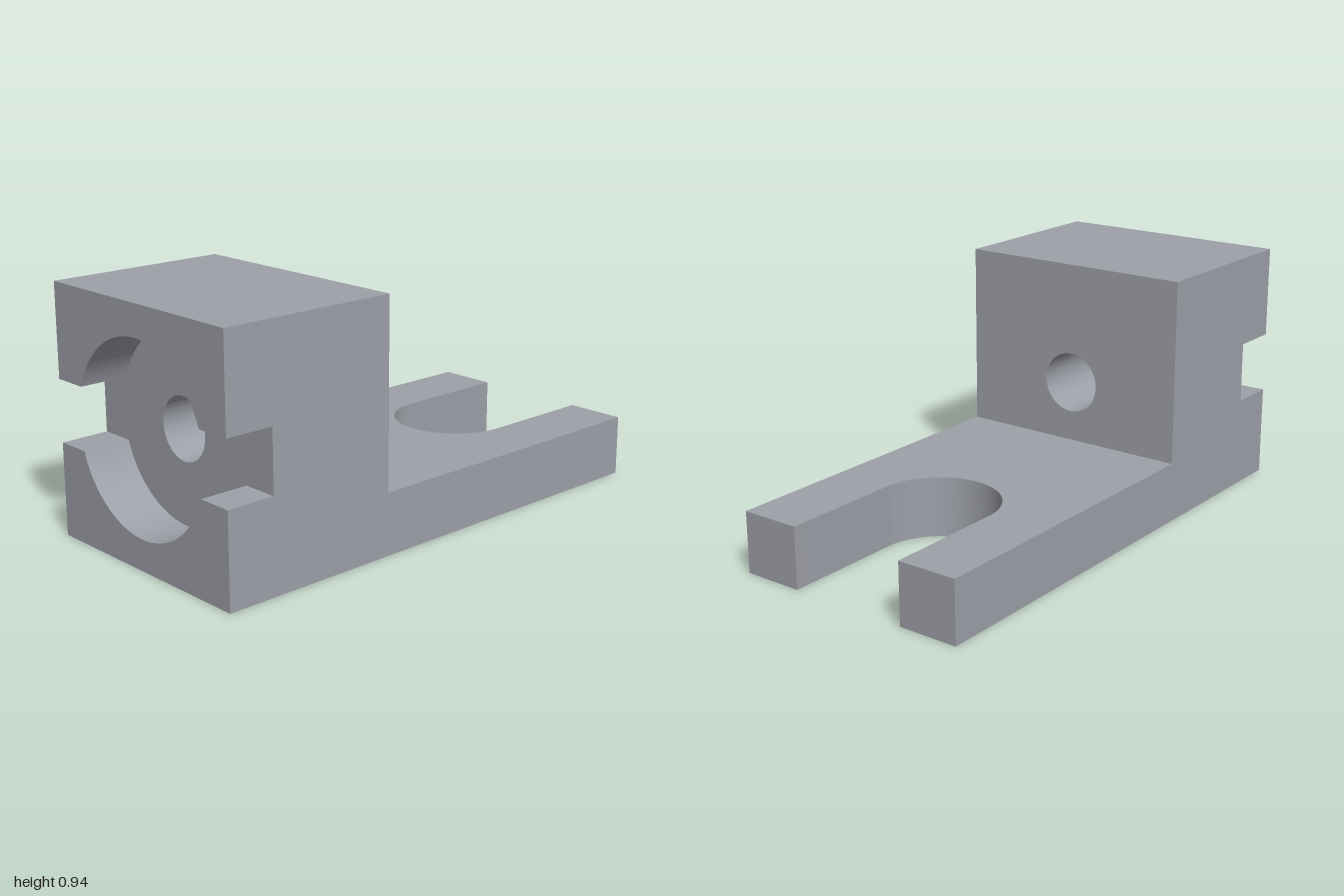
import * as THREE from 'three';
import { toCreasedNormals } from 'three/addons/utils/BufferGeometryUtils.js';

const U = 2 / 17;                 // design unit: the part is 17 units long
const HALF = 4 * U;               // half of the square block's width and height
const BLOCK_X = -1 + 6 * U;       // inner face of the block
const RECESS_X = -1 + 1.6 * U;    // floor of the counterbore and cross slot
const material = new THREE.MeshStandardMaterial({ color: 0x9da0a8 });

function extrude(shape, depth) {
  return new THREE.ExtrudeGeometry(shape, { depth, bevelEnabled: false, curveSegments: 48 });
}

function part(name, geometry) {
  const mesh = new THREE.Mesh(toCreasedNormals(geometry, Math.PI / 6), material);
  mesh.name = name;
  return mesh;
}

// Flat base plate with an open-ended round slot
function basePlate() {
  const r = 2 * U, slotX = 1 - 4 * U;
  const s = new THREE.Shape();
  s.moveTo(BLOCK_X, -HALF);
  s.lineTo(1, -HALF);
  s.lineTo(1, -r);
  s.lineTo(slotX, -r);
  s.absarc(slotX, 0, r, -Math.PI / 2, Math.PI / 2, true);
  s.lineTo(1, r);
  s.lineTo(1, HALF);
  s.lineTo(BLOCK_X, HALF);
  return part('basePlate', extrude(s, 2 * U).rotateX(-Math.PI / 2));
}

// Upright block with a round through hole
function block() {
  const s = new THREE.Shape();
  s.moveTo(-HALF, -HALF);
  s.lineTo(HALF, -HALF);
  s.lineTo(HALF, HALF);
  s.lineTo(-HALF, HALF);
  const hole = new THREE.Path();
  hole.absarc(0, 0, U, 0, Math.PI * 2, true);
  s.holes.push(hole);
  const g = extrude(s, BLOCK_X - RECESS_X).rotateY(Math.PI / 2);
  return part('block', g.translate(RECESS_X, HALF, 0));
}

// Raised jaw beside the cross slot, cut by the counterbore
function jaw(name, turn) {
  const R = 3 * U, gap = U, a = Math.asin(gap / R);
  const s = new THREE.Shape();
  s.moveTo(-HALF, HALF);
  s.lineTo(-HALF, gap);
  s.lineTo(-R * Math.cos(a), gap);
  s.absarc(0, 0, R, Math.PI - a, a, true);
  s.lineTo(HALF, gap);
  s.lineTo(HALF, HALF);
  const g = extrude(s, RECESS_X + 1).rotateY(Math.PI / 2).rotateX(turn);
  return part(name, g.translate(-1, HALF, 0));
}

export function createModel() {
  const model = new THREE.Group();
  model.name = 'slottedBracket';
  model.add(basePlate(), block(), jaw('upperJaw', 0), jaw('lowerJaw', Math.PI));
  return model;
}
